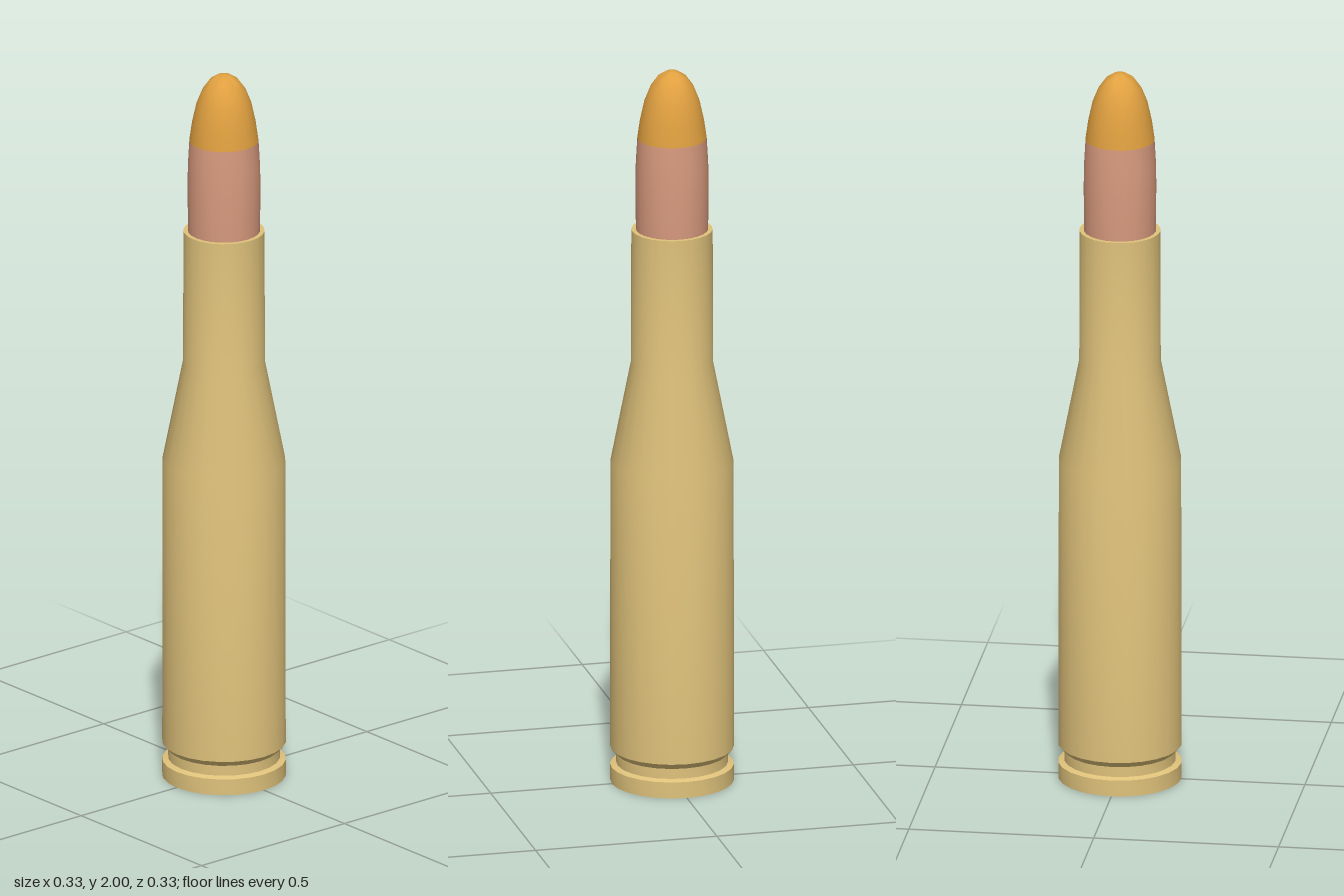
import * as THREE from 'three';
import { toCreasedNormals } from 'three/addons/utils/BufferGeometryUtils.js';

const SIDES = 24;

const paint = (name, color) => {
  const material = new THREE.MeshStandardMaterial({ color });
  material.name = name;
  return material;
};

// Turn a bottom-to-top list of [radius, height] pairs around the y axis
function turned(name, profile, material) {
  const lathe = new THREE.LatheGeometry(profile.map(([r, y]) => new THREE.Vector2(r, y)), SIDES);
  const mesh = new THREE.Mesh(toCreasedNormals(lathe, 0.6), material);
  mesh.name = name;
  return mesh;
}

export function createModel() {
  const brass = paint('brass', 0xdfc27b);
  const copper = paint('copper', 0xd89a7e);
  const amber = paint('amber', 0xe0a040);

  const group = new THREE.Group();
  group.name = 'cartridge';

  group.add(
    // Flat base and rim, up into the extractor groove
    turned('rim', [
      [0, 0], [0.166, 0], [0.166, 0.045], [0.15, 0.05], [0.15, 0.078],
    ], brass),

    // Straight body, sloping shoulder, neck and open mouth
    turned('case', [
      [0.15, 0.078], [0.166, 0.095], [0.165, 0.9], [0.11, 1.18],
      [0.109, 1.553], [0.097, 1.553], [0.097, 1.5],
    ], brass),

    // Jacket seated in the mouth
    turned('jacket', [
      [0, 1.5], [0.094, 1.5], [0.097, 1.57], [0.098, 1.68], [0.097, 1.74], [0.093, 1.81],
    ], copper),

    // Rounded tip
    turned('tip', [
      [0.093, 1.81], [0.086, 1.86], [0.074, 1.915], [0.058, 1.955],
      [0.038, 1.983], [0.018, 1.996], [0, 2],
    ], amber),
  );
  return group;
}
